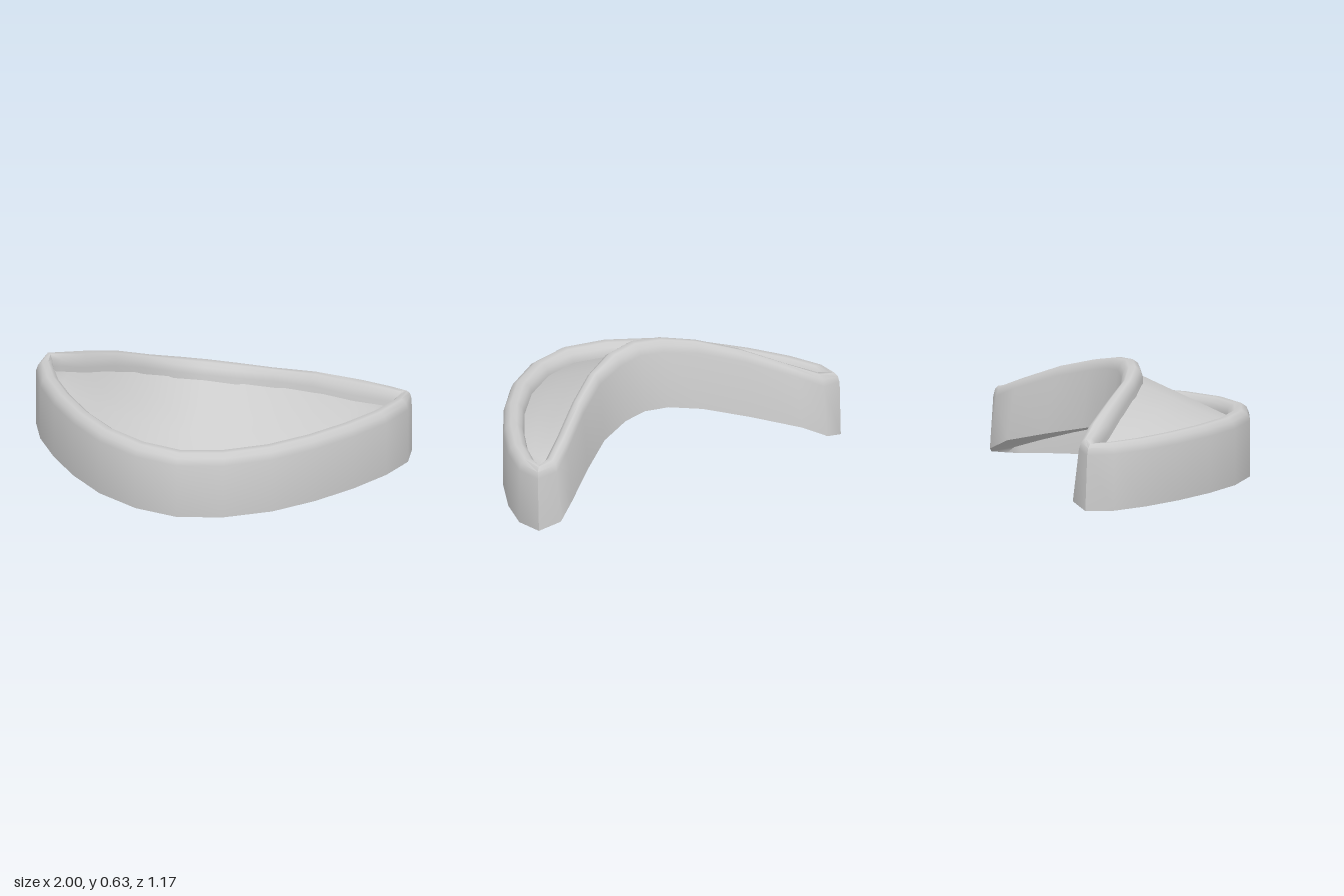
import * as THREE from 'three';
import { toCreasedNormals } from 'three/addons/utils/BufferGeometryUtils.js';

// Half of the rim, front centre to back centre:
// outer x, outer z, inner x, inner z, top y, bottom y, inward lean of the outer top
const HALF = [
  [0, 0.585, 0, 0.46, 0.375, 0.025, 0],
  [0.235, 0.53, 0.2, 0.41, 0.375, 0.024, 0],
  [0.465, 0.39, 0.4, 0.29, 0.373, 0.02, 0],
  [0.65, 0.205, 0.575, 0.12, 0.37, 0.016, 0],
  [0.805, 0, 0.72, -0.07, 0.365, 0.011, 0],
  [0.93, -0.21, 0.83, -0.25, 0.36, 0.007, 0],
  [1, -0.4, 0.9, -0.41, 0.357, 0.003, 0],
  [0.985, -0.55, 0.927, -0.48, 0.355, 0.005, 0.01],
  [0.87, -0.588, 0.88, -0.455, 0.37, 0.04, 0.033],
  [0.75, -0.525, 0.72, -0.35, 0.43, 0.1, 0.04],
  [0.53, -0.37, 0.53, -0.225, 0.52, 0.165, 0.04],
  [0.32, -0.235, 0.35, -0.115, 0.58, 0.22, 0.04],
  [0.14, -0.18, 0.17, -0.03, 0.617, 0.26, 0.04],
  [0, -0.162, 0, 0, 0.63, 0.27, 0.04],
];
const TIP = 7;

// Rounded cap: fraction across the wall, drop below the top
const CAP = [[0, 0.055], [0.12, 0.02], [0.35, 0], [0.65, 0], [0.88, 0.02], [1, 0.055]];

function gridGeometry(rows, closed) {
  const n = rows[0].length, index = [];
  const count = closed ? rows.length : rows.length - 1;
  const cols = closed ? n : n - 1;
  for (let i = 0; i < count; i++) {
    for (let j = 0; j < cols; j++) {
      const a = i * n + j, b = i * n + (j + 1) % n;
      const k = ((i + 1) % rows.length) * n;
      const d = k + j, c = k + (j + 1) % n;
      index.push(a, d, b, b, d, c);
    }
  }
  const geo = new THREE.BufferGeometry();
  geo.setAttribute('position', new THREE.Float32BufferAttribute(rows.flat(2), 3));
  geo.setIndex(index);
  return geo;
}

function rimSection([ox, oz, ix, iz, top, bottom, lean]) {
  const cap = CAP.map(([u, drop]) => [
    THREE.MathUtils.lerp(ox, ix, u), top - drop, THREE.MathUtils.lerp(oz + lean, iz, u),
  ]);
  return [[ox, bottom, oz], ...cap, [ix, bottom, iz]];
}

// Point on the back inner edge of the panel at a given x
function backEdge(x) {
  const back = HALF.slice(TIP).reverse();
  let i = 0;
  while (i < back.length - 2 && back[i + 1][2] < x) i++;
  const a = back[i], b = back[i + 1];
  const t = Math.min(1, (x - a[2]) / (b[2] - a[2]));
  const mix = (k) => THREE.MathUtils.lerp(a[k], b[k], t);
  return [x, mix(4) - 0.085, mix(3)];
}

export function createModel() {
  const group = new THREE.Group();
  const material = new THREE.MeshStandardMaterial({ color: 0xcccccc, side: THREE.DoubleSide });
  const add = (name, geo) => {
    const mesh = new THREE.Mesh(toCreasedNormals(geo, 0.95), material);
    mesh.name = name;
    group.add(mesh);
  };

  // Crescent rim: sections swept round the mirrored outline
  const mirrored = HALF.slice(1, -1).reverse().map(([ox, oz, ix, ...rest]) => [-ox, oz, -ix, ...rest]);
  add('crescentRim', gridGeometry([...HALF, ...mirrored].map(rimSection), true));

  // Sloping panel ruled from the front wall up to the arched back wall
  const strips = HALF.slice(0, TIP + 1).map(([, , x, z, top]) => {
    const front = [x, top - 0.06, z], back = backEdge(x);
    return [0, 1 / 3, 2 / 3, 1].map((t) => front.map((v, k) => THREE.MathUtils.lerp(v, back[k], t)));
  });
  const left = strips.slice(1).reverse().map((row) => row.map(([x, y, z]) => [-x, y, z]));
  add('slopingPanel', gridGeometry([...left, ...strips], false));

  return group;
}
